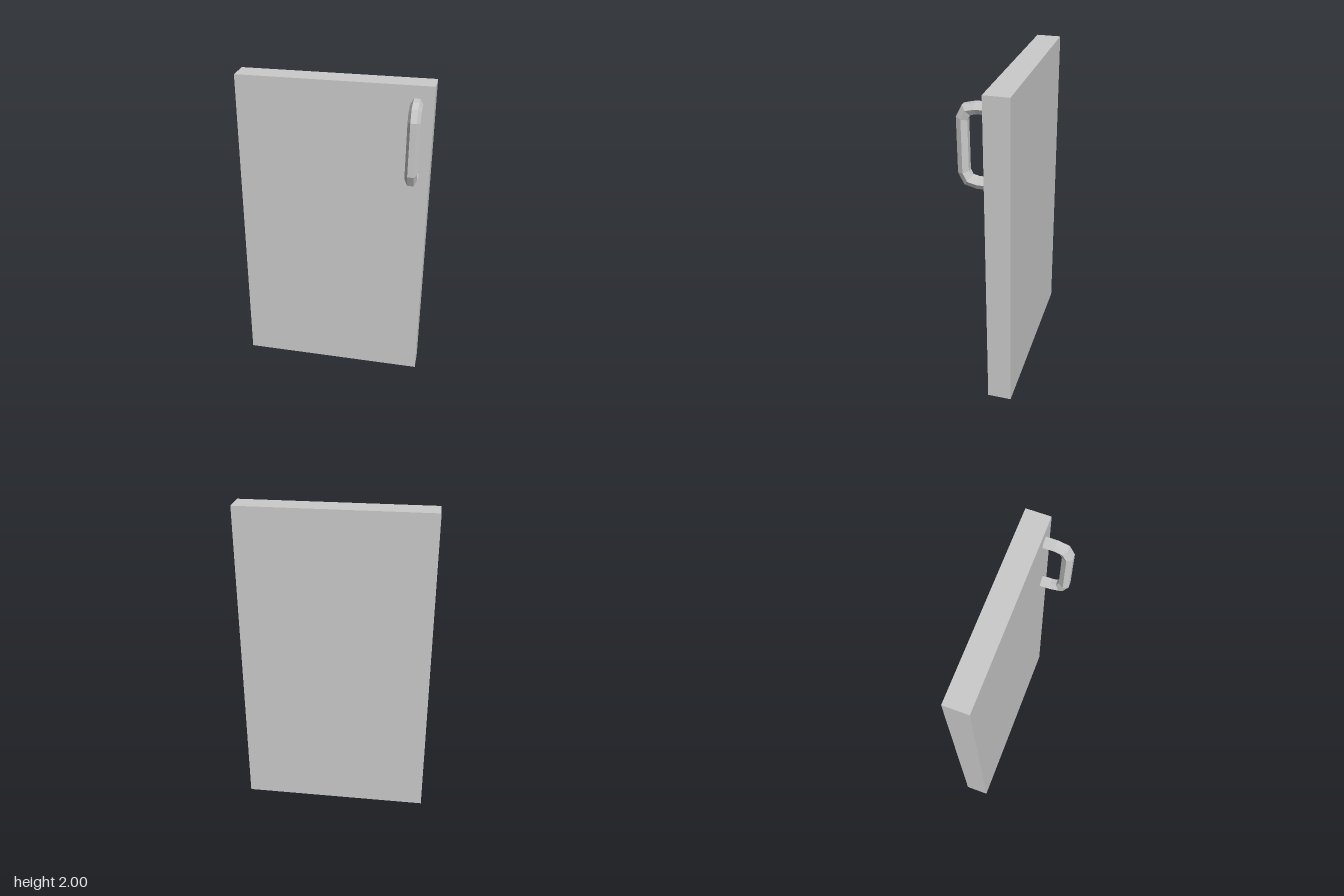
import * as THREE from 'three';

const material = new THREE.MeshStandardMaterial({ color: 0xcccccc, flatShading: true });

// Sweeps a mitred hexagonal bar along a path of [z, y] points
function hexBar(path, radius) {
  const points = path.map(([z, y]) => new THREE.Vector2(z, y));
  const last = points.length - 1;
  const direction = (i) => points[i + 1].clone().sub(points[i]).normalize();
  const positions = [];
  const index = [];

  points.forEach((p, i) => {
    const before = direction(Math.max(i - 1, 0));
    const after = direction(Math.min(i, last - 1));
    const along = before.clone().add(after).normalize();
    const mitre = 1 / along.dot(after);
    for (let k = 0; k < 6; k++) {
      const angle = (k * Math.PI) / 3;
      const offset = Math.sin(angle) * radius * mitre;
      positions.push(Math.cos(angle) * radius, p.y + along.x * offset, p.x - along.y * offset);
    }
  });

  for (let i = 0; i < last; i++) {
    for (let k = 0; k < 6; k++) {
      const a = i * 6 + k;
      const b = i * 6 + ((k + 1) % 6);
      index.push(a, b, a + 6, b, b + 6, a + 6);
    }
  }

  const geometry = new THREE.BufferGeometry();
  geometry.setAttribute('position', new THREE.Float32BufferAttribute(positions, 3));
  geometry.setIndex(index);
  const faceted = geometry.toNonIndexed();
  faceted.computeVertexNormals();
  return faceted;
}

export function createModel() {
  const model = new THREE.Group();
  model.name = 'cabinetDoor';

  // Door panel, turned very slightly about the vertical
  const panel = new THREE.Mesh(new THREE.BoxGeometry(1.173, 2, 0.148), material);
  panel.name = 'doorPanel';
  panel.position.set(0, 1, -0.0845);
  panel.rotation.y = -0.0077;
  model.add(panel);

  // Handle, the lower half mirrored from the upper, ends sunk into the panel
  const middle = 1.677;
  const upper = [[-0.02, 0.217], [0.057, 0.217], [0.108, 0.204], [0.133, 0.154]];
  const lower = upper.map(([z, y]) => [z, -y]).reverse();
  const handle = new THREE.Mesh(hexBar([...upper, ...lower], 0.036), material);
  handle.name = 'handle';
  handle.position.set(0.487, middle, 0);
  model.add(handle);

  return model;
}
